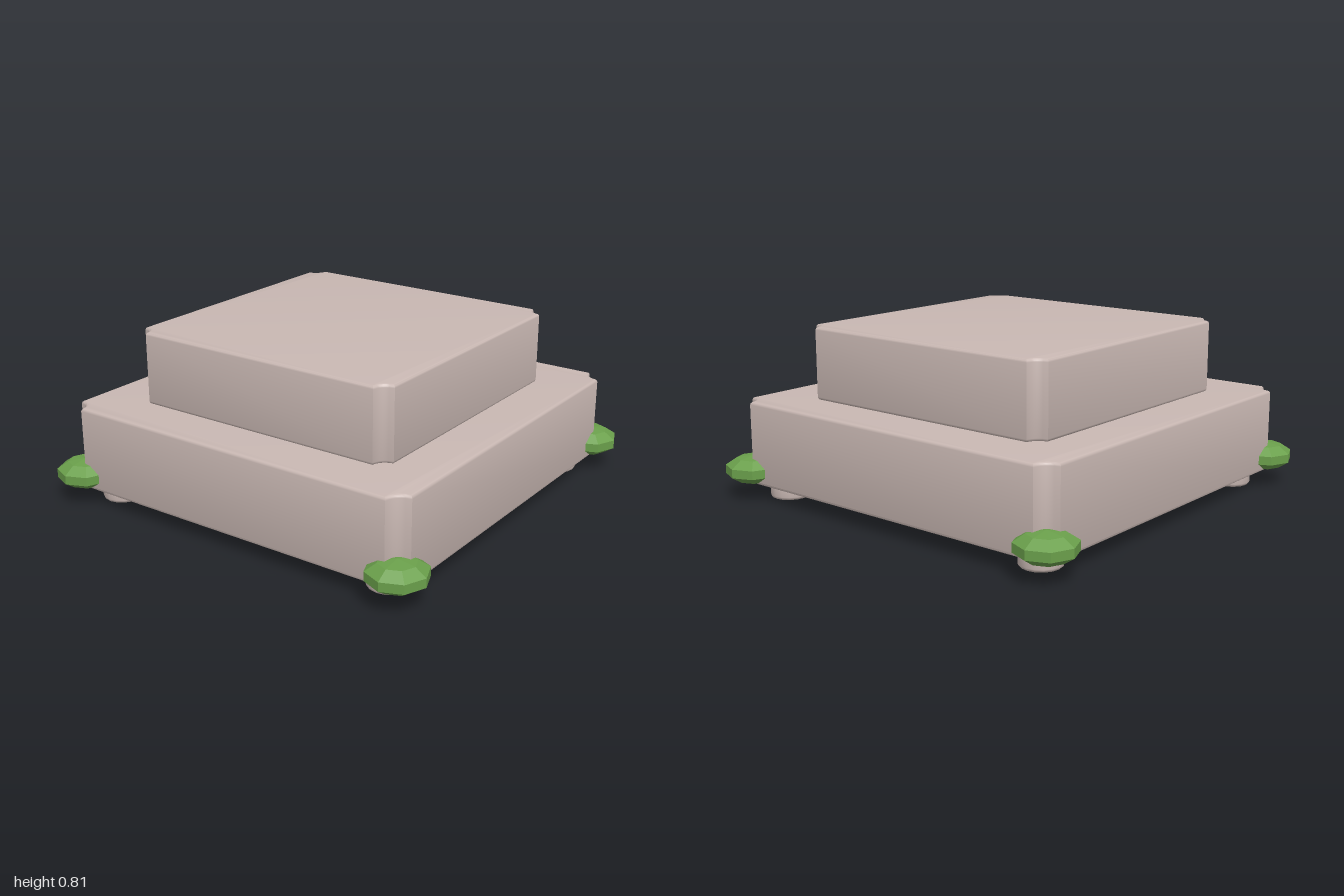
import * as THREE from 'three';
import { toCreasedNormals } from 'three/addons/utils/BufferGeometryUtils.js';

const stone = new THREE.MeshStandardMaterial({ color: 0xc8b7b2 });
stone.name = 'pale stone';
const leaf = new THREE.MeshStandardMaterial({ color: 0x6a9f4b });
leaf.name = 'leaf green';

// Upright bevelled prism from a plan outline that is already inset by the bevel
function bevelledPrism(shape, y0, y1, bevel, curveSegments) {
  const geo = new THREE.ExtrudeGeometry(shape, {
    depth: y1 - y0 - 2 * bevel, bevelEnabled: true, bevelThickness: bevel,
    bevelSize: bevel, bevelSegments: 3, curveSegments,
  });
  geo.rotateX(-Math.PI / 2).translate(0, y0 + bevel, 0);
  return toCreasedNormals(geo, 0.7);
}

// Square plan with a concave quarter round cut from each corner
function notchedSquare(half, notch, bevel) {
  const r = notch + bevel;
  const tilt = Math.asin(bevel / r);
  const points = [];
  for (let corner = 0; corner < 4; corner++) {
    for (let i = 0; i <= 6; i++) {
      const a = THREE.MathUtils.lerp(-Math.PI / 2 - tilt, -Math.PI + tilt, i / 6);
      const p = new THREE.Vector2(half + r * Math.cos(a), half + r * Math.sin(a));
      points.push(p.rotateAround(new THREE.Vector2(), corner * Math.PI / 2));
    }
  }
  return new THREE.Shape(points);
}

export function createModel() {
  const model = new THREE.Group();
  model.name = 'tieredPlinth';
  const add = (name, geo, mat, x = 0, y = 0, z = 0) => {
    const mesh = new THREE.Mesh(geo, mat);
    mesh.name = name;
    mesh.position.set(x, y, z);
    model.add(mesh);
  };

  // Two stacked tiers
  const bevel = 0.014;
  add('lowerTier', bevelledPrism(notchedSquare(0.905, 0.073, bevel), 0.075, 0.468, bevel, 6), stone);
  add('upperTier', bevelledPrism(notchedSquare(0.68, 0.06, bevel), 0.468, 0.81, bevel, 6), stone);

  // Round feet and faceted shrubs at the corners
  const disc = new THREE.Shape().absarc(0, 0, 0.08, 0, Math.PI * 2, false);
  const footGeo = bevelledPrism(disc, 0, 0.1, 0.015, 8);
  const shrubGeo = new THREE.SphereGeometry(0.142, 8, 5).scale(1, 0.47, 1).toNonIndexed();
  shrubGeo.computeVertexNormals();
  for (const [label, sz] of [['front', 1], ['back', -1]]) {
    for (const [side, sx] of [['Left', 1], ['Right', -1]]) {
      add(`${label}${side}Foot`, footGeo, stone, sx * 0.75, 0, sz * 0.75);
      add(`${label}${side}Shrub`, shrubGeo, leaf, sx * 0.865, 0.138, sz * 0.865);
    }
  }
  return model;
}
